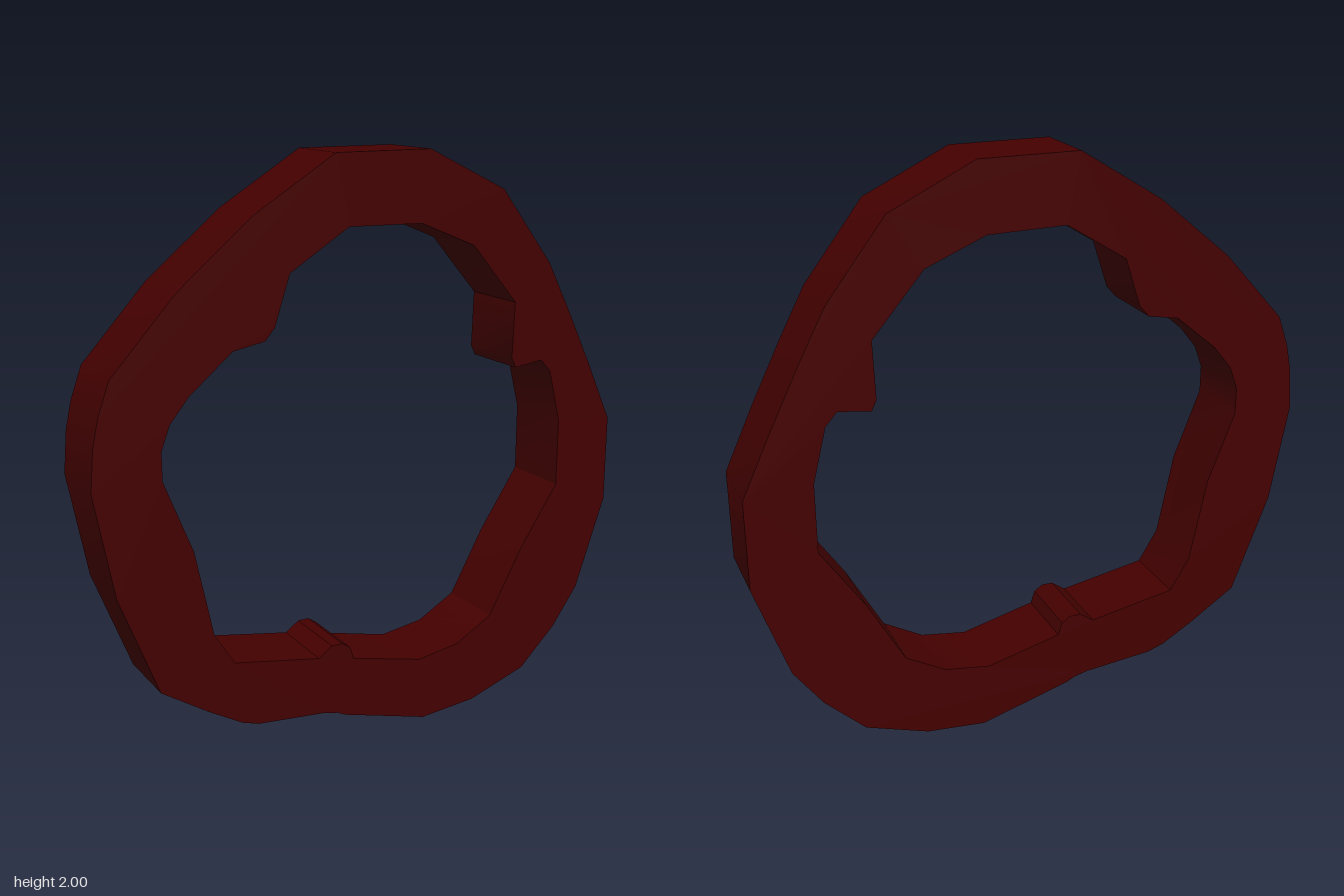
import * as THREE from 'three';
import { toCreasedNormals } from 'three/addons/utils/BufferGeometryUtils.js';

const DEPTH = 0.25;

// Outer rim, clockwise from the top
const outer = [
  [-0.145, 2], [0.2, 2], [0.49, 1.86], [0.69, 1.6], [0.78, 1.43], [0.88, 1.23],
  [0.983, 1.01], [0.983, 0.7], [0.87, 0.37], [0.77, 0.23], [0.63, 0.095], [0.41, 0.02],
  [0.2, 0], [-0.12, 0.09], [-0.15, 0.105], [-0.2, 0.117], [-0.45, 0.14], [-0.51, 0.16],
  [-0.63, 0.23], [-0.79, 0.335], [-0.92, 0.68], [-0.983, 1.03], [-0.97, 1.17],
  [-0.95, 1.26], [-0.91, 1.37], [-0.69, 1.61], [-0.43, 1.825],
];

// Opening, counter-clockwise from the top, with three inward lugs
const inner = [
  [-0.1, 1.77],
  [-0.31, 1.64], [-0.365, 1.475], [-0.4, 1.435], [-0.51, 1.415], // upper lug at -x
  [-0.66, 1.29], [-0.725, 1.21], [-0.755, 1.13], [-0.755, 1.035], [-0.66, 0.79],
  [-0.6, 0.495], [-0.53, 0.38],
  [-0.22, 0.325], [-0.17, 0.36], [-0.13, 0.36], [-0.1, 0.34], [-0.085, 0.295], // bottom lug
  [0.18, 0.23], [0.34, 0.255], [0.48, 0.335], [0.61, 0.57], [0.757, 0.79],
  [0.757, 1.03], [0.71, 1.215],
  [0.67, 1.26], [0.56, 1.245], [0.543, 1.28], [0.55, 1.475], // upper lug at +x
  [0.375, 1.68], [0.17, 1.765],
];

const toPoints = (list) => list.map(([x, y]) => new THREE.Vector2(x, y));

export function createModel() {
  const group = new THREE.Group();
  group.name = 'irregularRing';

  // Flat slab with an irregular opening
  const shape = new THREE.Shape(toPoints(outer));
  shape.holes.push(new THREE.Path(toPoints(inner)));
  const slab = new THREE.ExtrudeGeometry(shape, { depth: DEPTH, bevelEnabled: false });
  slab.translate(0, 0, -DEPTH / 2);

  const ring = new THREE.Mesh(
    toCreasedNormals(slab, THREE.MathUtils.degToRad(30)),
    new THREE.MeshStandardMaterial({ color: 0x450000 }),
  );
  ring.name = 'ring';
  group.add(ring);
  return group;
}
